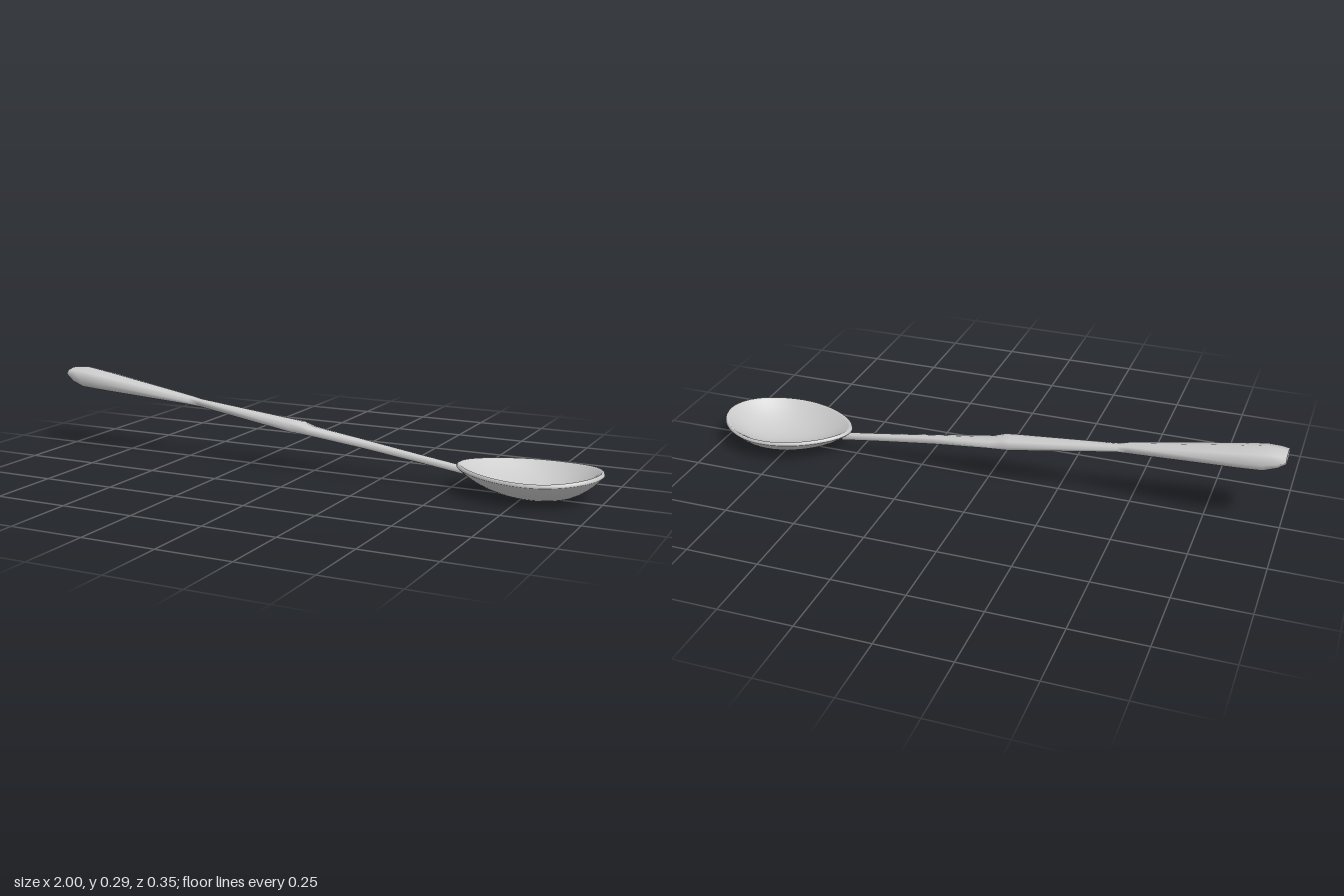
import * as THREE from 'three';
import { mergeVertices } from 'three/addons/utils/BufferGeometryUtils.js';

const material = new THREE.MeshStandardMaterial({ color: 0xcccccc });

// Move every vertex by a rule, then weld the seam and smooth the normals.
function reshape(geometry, rule, keepCapEdges) {
  const p = geometry.attributes.position;
  const v = new THREE.Vector3();
  for (let i = 0; i < p.count; i++) {
    rule(v.fromBufferAttribute(p, i));
    p.setXYZ(i, v.x, v.y, v.z);
  }
  geometry.deleteAttribute('uv');
  if (!keepCapEdges) geometry.deleteAttribute('normal');
  const welded = mergeVertices(geometry, 1e-5);
  welded.computeVertexNormals();
  return welded;
}

// Eight-sided handle; each row is x, bottom y, top y, half width.
function handleGeometry() {
  const rows = [
    [-1, 0.25, 0.287, 0.045],
    [-0.975, 0.232, 0.291, 0.054],
    [-0.93, 0.214, 0.293, 0.06],
    [-0.85, 0.209, 0.281, 0.057],
    [-0.49, 0.188, 0.222, 0.026],
    [-0.45, 0.184, 0.214, 0.018],
    [-0.08, 0.128, 0.175, 0.042],
    [-0.05, 0.126, 0.171, 0.042],
    [-0.01, 0.123, 0.157, 0.037],
    [0.2, 0.096, 0.128, 0.021],
    [0.4, 0.069, 0.098, 0.016],
    [0.52, 0.052, 0.081, 0.015],
    [0.55, 0.048, 0.074, 0.015],
  ];
  const n = rows.length - 1;
  return reshape(new THREE.CylinderGeometry(1, 1, 1, 8, n), (v) => {
    const [x, y0, y1, w] = rows[Math.round((0.5 - v.y) * n)];
    v.set(x, (y0 + y1) / 2 + (v.x * (y1 - y0)) / 2, v.z * w);
  }, true);
}

// Egg-shaped bowl: a turned shell (underside, rim, inside) stretched to the outline.
function bowlGeometry() {
  const profile = [];
  for (let i = 0; i <= 12; i++) {
    const s = Math.sin((i / 12) * Math.PI / 2);
    profile.push(new THREE.Vector2(s, Math.pow(s, 2.8)));
  }
  profile.push(new THREE.Vector2(0.99, 1.1), new THREE.Vector2(0.965, 1.14), new THREE.Vector2(0.935, 1.08));
  for (let i = 9; i >= 0; i--) {
    const s = 0.92 * i / 10;
    profile.push(new THREE.Vector2(s, 0.22 + 0.84 * Math.pow(s / 0.92, 2.2)));
  }
  return reshape(new THREE.LatheGeometry(profile, 48), (v) => {
    const r = Math.hypot(v.x, v.z);
    const c = r > 1e-6 ? v.x / r : 0;
    const narrow = c < 0 ? 1 - 0.2 * c * c : 1;
    const rim = 0.076 + (c > 0 ? 0.014 : 0.006) * c * c * r;
    v.set(0.79 + v.x * (c > 0 ? 0.21 : 0.27), 0.002 + v.y * (rim - 0.002), v.z * 0.173 * narrow);
  }, false);
}

export function createModel() {
  const spoon = new THREE.Group();
  spoon.name = 'spoon';
  const parts = { handle: handleGeometry(), bowl: bowlGeometry() };
  for (const [name, geometry] of Object.entries(parts)) {
    const mesh = new THREE.Mesh(geometry, material);
    mesh.name = name;
    spoon.add(mesh);
  }
  return spoon;
}
